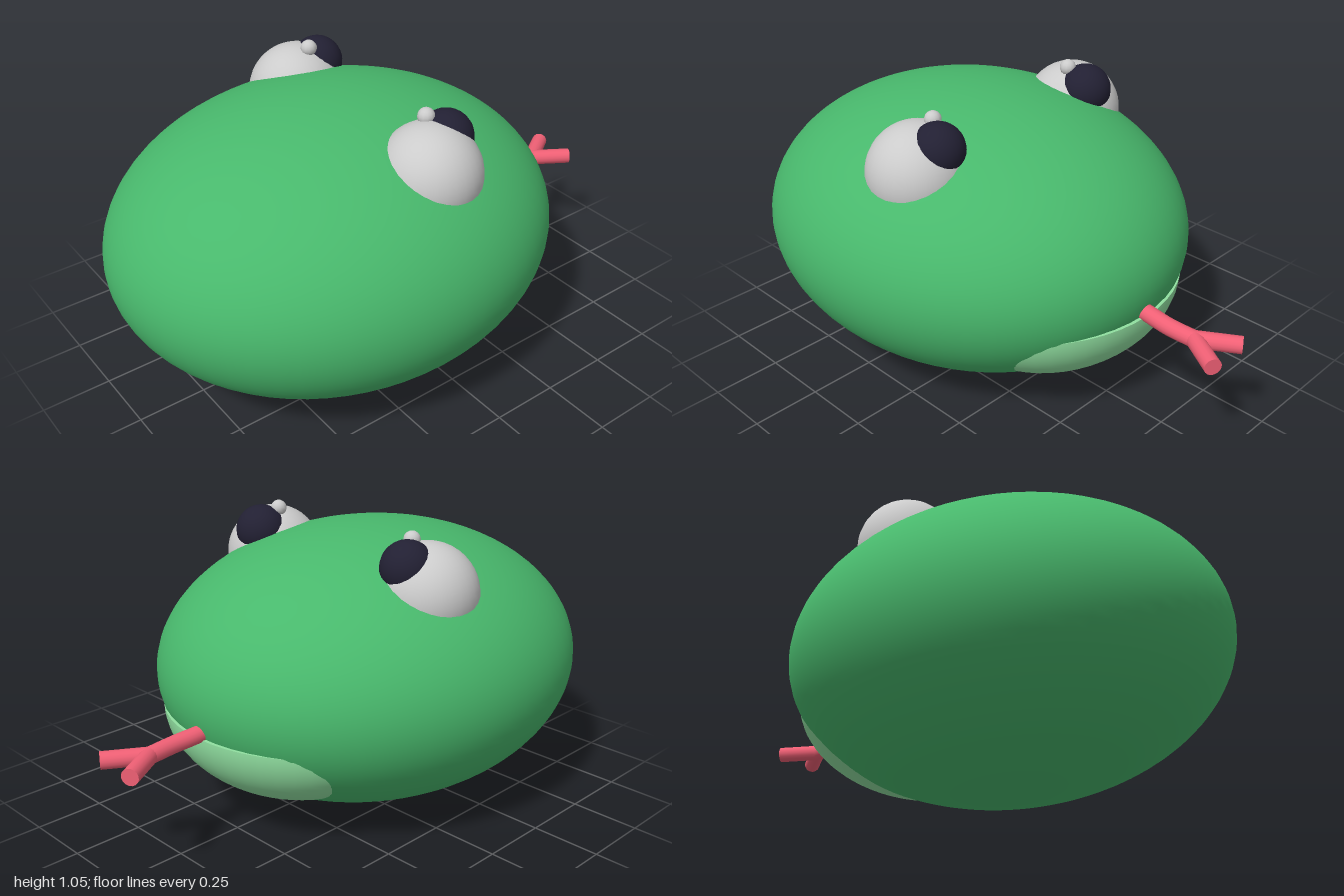
import * as THREE from 'three';

const mat = (color, extra = {}) => new THREE.MeshStandardMaterial({ color, ...extra });

export function createModel() {
  const model = new THREE.Group();
  const green = mat(0x48b86c);
  const paleGreen = mat(0x90dfa0);
  const grey = mat(0xcccccc);
  const dark = mat(0x222033);
  const pink = mat(0xf06075);

  const add = (name, geometry, material, parent = model) => {
    const mesh = new THREE.Mesh(geometry, material);
    mesh.name = name;
    parent.add(mesh);
    return mesh;
  };

  // Ellipsoid head
  const head = add('head', new THREE.SphereGeometry(1, 64, 48), green);
  head.scale.set(0.83, 0.5, 0.73);
  head.position.set(-0.17, 0.5, 0);

  // Pale lower jaw: half ellipsoid with a flat top, just proud of the head
  const jaw = new THREE.Group();
  jaw.name = 'jaw';
  jaw.position.set(0.25, 0.4, 0);
  jaw.scale.set(0.405, 0.3, 0.49);
  add('jawShell', new THREE.SphereGeometry(1, 48, 24, 0, Math.PI * 2, Math.PI / 2, Math.PI / 2), paleGreen, jaw);
  add('jawTop', new THREE.CircleGeometry(1, 48).rotateX(-Math.PI / 2), paleGreen, jaw);
  model.add(jaw);

  // Eyes, mirrored across z
  for (const side of [1, -1]) {
    const eye = new THREE.Group();
    eye.name = side > 0 ? 'eyeNear' : 'eyeFar';
    const ball = (name, r, x, y, z, material, segments) =>
      add(name, new THREE.SphereGeometry(r, segments, segments * 0.75), material, eye)
        .position.set(x, y, z * side);
    ball('eyeball', 0.18, -0.045, 0.838, 0.386, grey, 32);
    ball('pupil', 0.094, 0.037, 0.941, 0.367, dark, 24);
    ball('highlight', 0.03, -0.022, 1.02, 0.333, grey, 12);
    model.add(eye);
  }

  // Tongue: curved stem, then a straight fork with closed tips
  const tongue = new THREE.Group();
  tongue.name = 'tongue';
  const r = 0.03;
  const fork = new THREE.Vector3(0.85, 0.404, 0);
  const stem = new THREE.CatmullRomCurve3([
    new THREE.Vector3(0.5, 0.43, 0),
    new THREE.Vector3(0.65, 0.415, 0),
    new THREE.Vector3(0.75, 0.408, 0.006),
    fork,
  ]);
  add('tongueStem', new THREE.TubeGeometry(stem, 24, r, 16), pink, tongue);
  add('tongueJoint', new THREE.SphereGeometry(r, 16, 12), pink, tongue).position.copy(fork);
  for (const side of [1, -1]) {
    const tip = new THREE.Vector3(0.982, 0.404, 0.083 * side);
    const dir = tip.clone().sub(fork);
    const prong = add('tongueProng', new THREE.CylinderGeometry(r, r, dir.length(), 16), pink, tongue);
    prong.position.copy(fork).add(tip).multiplyScalar(0.5);
    prong.quaternion.setFromUnitVectors(new THREE.Vector3(0, 1, 0), dir.normalize());
  }
  model.add(tongue);

  return model;
}
